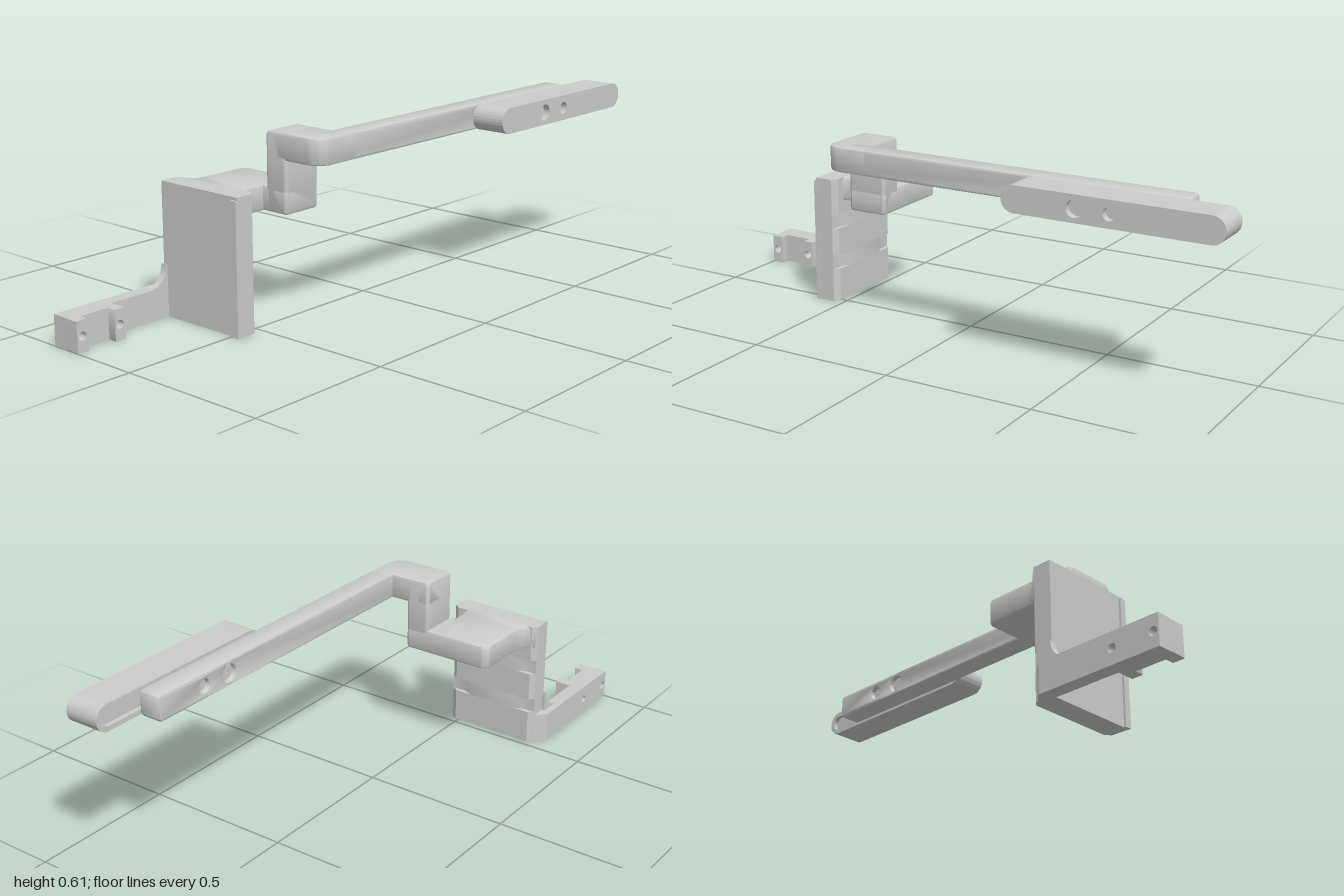
import * as THREE from 'three';
import { toCreasedNormals } from 'three/addons/utils/BufferGeometryUtils.js';

const material = new THREE.MeshStandardMaterial({ color: 0xcccccc, side: THREE.DoubleSide });

// Rounded rectangle outline
function roundRect(x0, y0, x1, y1, r) {
  const s = new THREE.Shape();
  s.absarc(x1 - r, y0 + r, r, -Math.PI / 2, 0);
  s.absarc(x1 - r, y1 - r, r, 0, Math.PI / 2);
  s.absarc(x0 + r, y1 - r, r, Math.PI / 2, Math.PI);
  s.absarc(x0 + r, y0 + r, r, Math.PI, Math.PI * 1.5);
  s.closePath();
  return s;
}

function hole(x, y, r) {
  return new THREE.Path().absarc(x, y, r, 0, Math.PI * 2, true);
}

// Chamfered slab: outline in x,y, running from depth a to b
function slab(shape, a, b, bevel = 0) {
  const g = new THREE.ExtrudeGeometry(shape, {
    depth: b - a - 2 * bevel, curveSegments: 10, bevelEnabled: bevel > 0,
    bevelThickness: bevel, bevelSize: bevel, bevelOffset: -bevel, bevelSegments: 2,
  });
  g.translate(0, 0, a + bevel);
  return g;
}

// Same, but outline in x,-z, rising from height a to b
function risingSlab(shape, a, b, bevel) {
  return slab(shape, a, b, bevel).rotateX(-Math.PI / 2);
}

export function createModel() {
  const group = new THREE.Group();
  const add = (name, geometry) => {
    const mesh = new THREE.Mesh(toCreasedNormals(geometry, 0.6), material);
    mesh.name = name;
    group.add(mesh);
    return mesh;
  };
  const box = (name, x0, x1, y0, y1, z0, z1) => {
    const g = new THREE.BoxGeometry(x1 - x0, y1 - y0, z1 - z0);
    return add(name, g.translate((x0 + x1) / 2, (y0 + y1) / 2, (z0 + z1) / 2));
  };

  // Upright plate, with shallow notches along both long edges
  const plate = new THREE.Shape();
  plate.moveTo(-0.597, -0.03);
  plate.lineTo(-0.535, -0.03);
  plate.lineTo(-0.52, -0.01);
  plate.lineTo(-0.52, 0.285);
  plate.lineTo(-0.535, 0.3);
  plate.lineTo(-0.597, 0.3);
  plate.closePath();
  const notchedPlate = new THREE.Shape();
  notchedPlate.moveTo(-0.597, -0.03);
  notchedPlate.lineTo(-0.535, -0.03);
  notchedPlate.lineTo(-0.535, 0.015);
  notchedPlate.lineTo(-0.52, 0.05);
  notchedPlate.lineTo(-0.52, 0.225);
  notchedPlate.lineTo(-0.535, 0.26);
  notchedPlate.lineTo(-0.535, 0.3);
  notchedPlate.lineTo(-0.597, 0.3);
  notchedPlate.closePath();
  const levels = [0, 0.115, 0.165, 0.26, 0.31, 0.435];
  for (let i = 0; i < 5; i++) {
    add('uprightPlate', risingSlab(i % 2 ? notchedPlate : plate, levels[i], levels[i + 1], 0));
  }
  box('plateLip', -0.605, -0.59, 0, 0.425, 0.01, 0.032);

  // Rear bar with screw holes and a filleted root
  const bar = new THREE.Shape();
  bar.moveTo(-1, 0);
  bar.lineTo(-0.525, 0);
  bar.lineTo(-0.525, 0.1);
  bar.lineTo(-1, 0.1);
  bar.closePath();
  for (const x of [-0.98, -0.84]) bar.holes.push(hole(x, 0.05, 0.014));
  const rear = slab(bar, -0.333, -0.285);
  // Chamfer the back of the root where it meets the plate
  const p = rear.attributes.position;
  for (let i = 0; i < p.count; i++) {
    if (p.getX(i) > -0.53 && p.getZ(i) < -0.32) p.setX(i, -0.575);
  }
  rear.computeVertexNormals();
  add('rearBar', rear);

  const fillet = new THREE.Shape();
  fillet.moveTo(-0.67, 0.09);
  fillet.lineTo(-0.59, 0.09);
  fillet.lineTo(-0.59, 0.17);
  fillet.lineTo(-0.6, 0.17);
  fillet.absarc(-0.67, 0.17, 0.07, 0, -Math.PI / 2, true);
  fillet.closePath();
  add('barFillet', slab(fillet, -0.31, -0.285));

  // Thick end of the rear bar and its two tabs
  const pad = roundRect(-1, 0, -0.82, 0.1, 0.002);
  for (const x of [-0.98, -0.84]) pad.holes.push(hole(x, 0.05, 0.014));
  add('barPad', slab(pad, -0.29, -0.258));
  for (const [x0, x1, hx] of [[-1, -0.96, -0.98], [-0.858, -0.82, -0.84]]) {
    const tab = roundRect(x0, 0, x1, 0.1, 0.002);
    tab.holes.push(hole(hx, 0.05, 0.014));
    add('barTab', slab(tab, -0.26, -0.228));
  }

  // Bracket block flaring into the plate
  const block = new THREE.Shape();
  block.moveTo(-0.54, 0);
  block.quadraticCurveTo(-0.52, 0.028, -0.47, 0.028);
  block.lineTo(-0.31, 0.028);
  block.lineTo(-0.29, 0.045);
  block.lineTo(-0.29, 0.23);
  block.lineTo(-0.31, 0.25);
  block.lineTo(-0.47, 0.25);
  block.quadraticCurveTo(-0.515, 0.252, -0.525, 0.295);
  block.lineTo(-0.54, 0.295);
  block.closePath();
  add('bracketBlock', risingSlab(block, 0.352, 0.435, 0.012));
  add('bracketFoot', risingSlab(roundRect(-0.43, -0.07, -0.29, 0.1, 0.012), 0.352, 0.435, 0.012));

  // Post rising to the arm
  add('post', risingSlab(roundRect(-0.43, -0.07, -0.29, 0.016, 0.012), 0.352, 0.605, 0.012));

  // Elbow, rounded on its outer corner
  const elbow = new THREE.Shape();
  elbow.moveTo(-0.37, -0.208);
  elbow.lineTo(-0.27, -0.208);
  elbow.lineTo(-0.27, -0.128);
  elbow.lineTo(-0.29, -0.128);
  elbow.lineTo(-0.29, 0.006);
  elbow.lineTo(-0.3, 0.016);
  elbow.lineTo(-0.42, 0.016);
  elbow.lineTo(-0.43, 0.006);
  elbow.lineTo(-0.43, -0.148);
  elbow.absarc(-0.37, -0.148, 0.06, Math.PI, Math.PI * 1.5);
  elbow.closePath();
  add('elbow', risingSlab(elbow, 0.52, 0.605, 0.01));

  // Long arm
  const pivots = [[0.54, 0.027], [0.65, 0.02]];
  const arm = roundRect(-0.36, 0.52, 0.84, 0.605, 0.014);
  for (const [x, r] of pivots) arm.holes.push(hole(x, 0.562, r));
  add('longArm', slab(arm, 0.128, 0.208, 0.01));

  // Handle with round ends and a recessed back
  const handle = roundRect(0.3, 0.52, 1, 0.605, 0.0424);
  for (const [x, r] of pivots) handle.holes.push(hole(x, 0.562, r));
  add('handle', slab(handle, 0.23, 0.333));
  const rim = roundRect(0.3, 0.52, 1, 0.605, 0.0424);
  rim.holes.push(roundRect(0.318, 0.536, 0.982, 0.589, 0.026));
  add('handleRim', slab(rim, 0.215, 0.23));

  // Pivot pins joining arm and handle
  for (const [x, r] of pivots) {
    const pin = new THREE.CylinderGeometry(r + 0.002, r + 0.002, 0.165, 24);
    add('pivotPin', pin.rotateX(Math.PI / 2).translate(x, 0.562, 0.2275));
  }
  return group;
}
